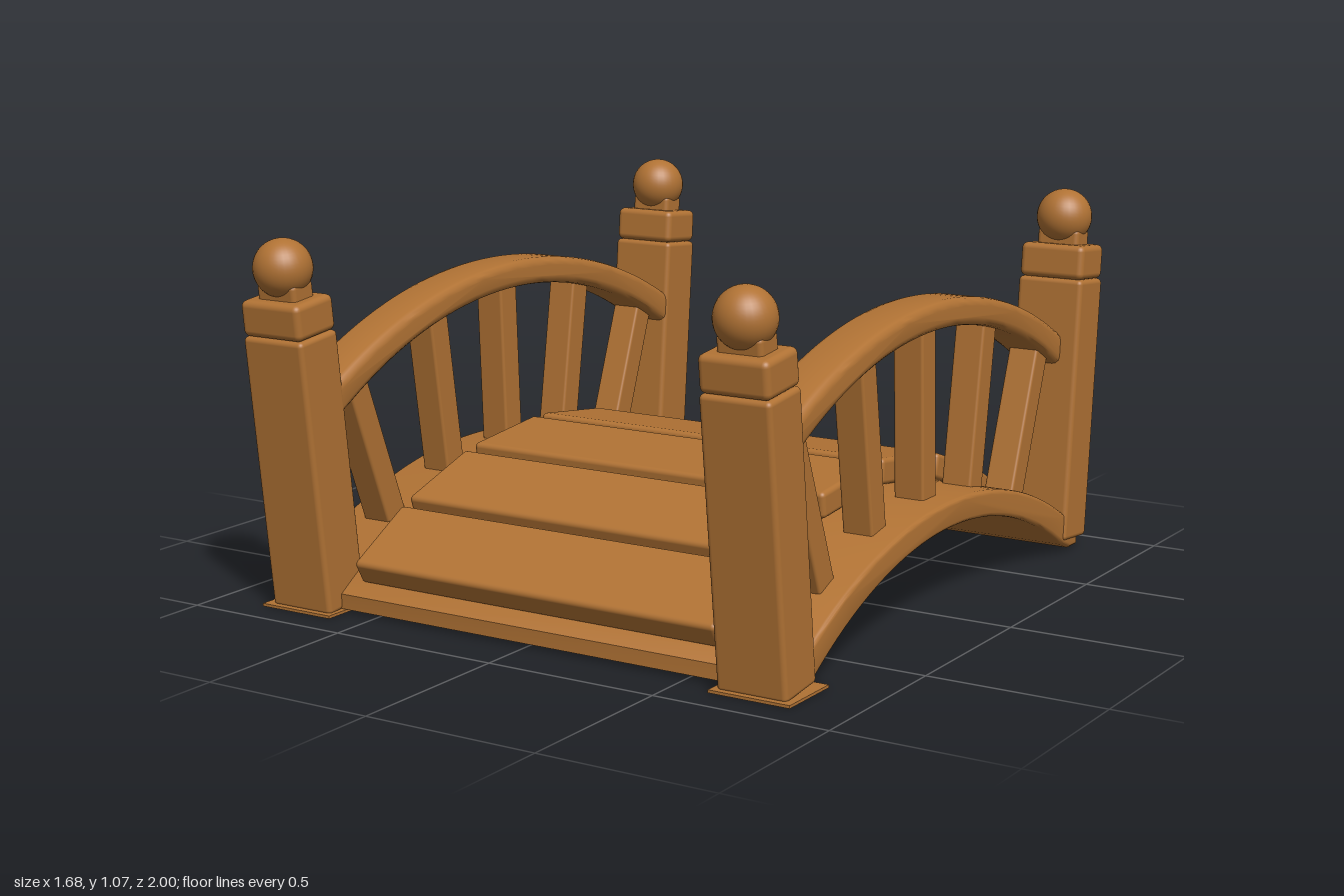
import * as THREE from 'three';
import { RoundedBoxGeometry } from 'three/addons/geometries/RoundedBoxGeometry.js';
import { toCreasedNormals } from 'three/addons/utils/BufferGeometryUtils.js';

const wood = new THREE.MeshStandardMaterial({ color: 0xb07234 });

function add(parent, name, geometry, x = 0, y = 0, z = 0) {
  const mesh = new THREE.Mesh(geometry, wood);
  mesh.name = name;
  mesh.position.set(x, y, z);
  parent.add(mesh);
  return mesh;
}

const box = (w, h, d, r = 0.014) => new RoundedBoxGeometry(w, h, d, 3, r);

// Height of a circular arc with its peak at (zc, peak)
const arcY = (z, zc, peak, R) => peak - R + Math.sqrt(R * R - (z - zc) ** 2);

// Curved beam: a side profile between two arcs, extruded along x with rounded edges
function archGeometry({ z0, z1, top, bottom, width, bevel, floor = 0 }) {
  const pts = [];
  const n = 40;
  const sample = (arc, t, inset) => {
    const z = THREE.MathUtils.lerp(z0 + bevel, z1 - bevel, t);
    return new THREE.Vector2(z, Math.max(arcY(z, ...arc) + inset, floor + bevel));
  };
  for (let i = 0; i <= n; i++) pts.push(sample(bottom, i / n, bevel));
  for (let i = n; i >= 0; i--) pts.push(sample(top, i / n, -bevel));
  const depth = width - 2 * bevel;
  const geo = new THREE.ExtrudeGeometry(new THREE.Shape(pts), {
    depth, bevelEnabled: true, bevelSize: bevel, bevelThickness: bevel, bevelSegments: 3,
  });
  geo.translate(0, 0, -depth / 2).rotateY(-Math.PI / 2);
  return toCreasedNormals(geo, 0.6);
}

// Leaning post with cap, neck and ball
function createPost(name, x, y, z, height, lean) {
  const post = new THREE.Group();
  post.name = name;
  add(post, 'postBody', box(0.203, height, 0.155), 0, height / 2, 0);
  add(post, 'postCap', box(0.2, 0.1, 0.155, 0.018), 0, height + 0.05, 0);
  add(post, 'postNeck', box(0.13, 0.07, 0.085), 0, height + 0.11, 0);
  add(post, 'postBall', new THREE.SphereGeometry(0.081, 32, 24), 0, height + 0.18, 0);
  post.position.set(x, y, z);
  post.rotation.x = lean;
  return post;
}

export function createModel() {
  const bridge = new THREE.Group();
  bridge.name = 'gardenBridge';

  // Arched deck slab
  const deckTop = [-0.02, 0.32, 1.5];
  add(bridge, 'deckArch', archGeometry({
    z0: -0.865, z1: 0.84, top: deckTop, bottom: [-0.02, 0.245, 1.4],
    width: 1.62, bevel: 0.012, floor: 0.01,
  }));

  // Planks laid tangent to the arch
  const planks = [[-0.84, -0.65], [-0.64, -0.38], [-0.36, -0.05], [-0.03, 0.28], [0.3, 0.58], [0.59, 0.82]];
  planks.forEach(([a, b], i) => {
    const z = (a + b) / 2;
    const angle = Math.asin((z - deckTop[0]) / deckTop[2]);
    const plank = add(bridge, `plank${i + 1}`, box(1.155, 0.075, (b - a) / Math.cos(angle) - 0.015),
      -0.003, arcY(z, ...deckTop) + 0.036, z);
    plank.rotation.x = angle;
  });

  // Balusters as [top z, top y, bottom z, bottom y]
  const balusters = [
    [0.71, 0.63, 0.54, 0.19],
    [0.34, 0.77, 0.265, 0.27],
    [0.0, 0.81, -0.022, 0.3],
    [-0.38, 0.76, -0.305, 0.27],
    [-0.74, 0.63, -0.58, 0.2],
  ];
  const railGeo = archGeometry({
    z0: -0.85, z1: 0.84, top: [-0.01, 0.86, 1.65], bottom: [-0.01, 0.782, 1.55],
    width: 0.145, bevel: 0.022,
  });

  for (const [side, s] of [['left', 1], ['right', -1]]) {
    add(bridge, `${side}Handrail`, railGeo, s * 0.69);
    balusters.forEach(([tz, ty, bz, by], i) => {
      const length = Math.hypot(tz - bz, ty - by);
      const bar = add(bridge, `${side}Baluster${i + 1}`, box(0.09, length, 0.08, 0.008),
        s * 0.695, (ty + by) / 2, (tz + bz) / 2);
      bar.rotation.x = Math.atan2(tz - bz, ty - by);
    });

    bridge.add(createPost(`${side}FrontPost`, s * 0.718, 0.008, 0.813, 0.775, 0.115));
    bridge.add(createPost(`${side}BackPost`, s * 0.715, 0.035, -0.832, 0.775, -0.088));

    // Thin foot plate under the front post
    add(bridge, `${side}FootPlate`, new THREE.BoxGeometry(0.235, 0.008, 0.195), s * 0.722, 0.004, 0.812);
  }
  return bridge;
}
